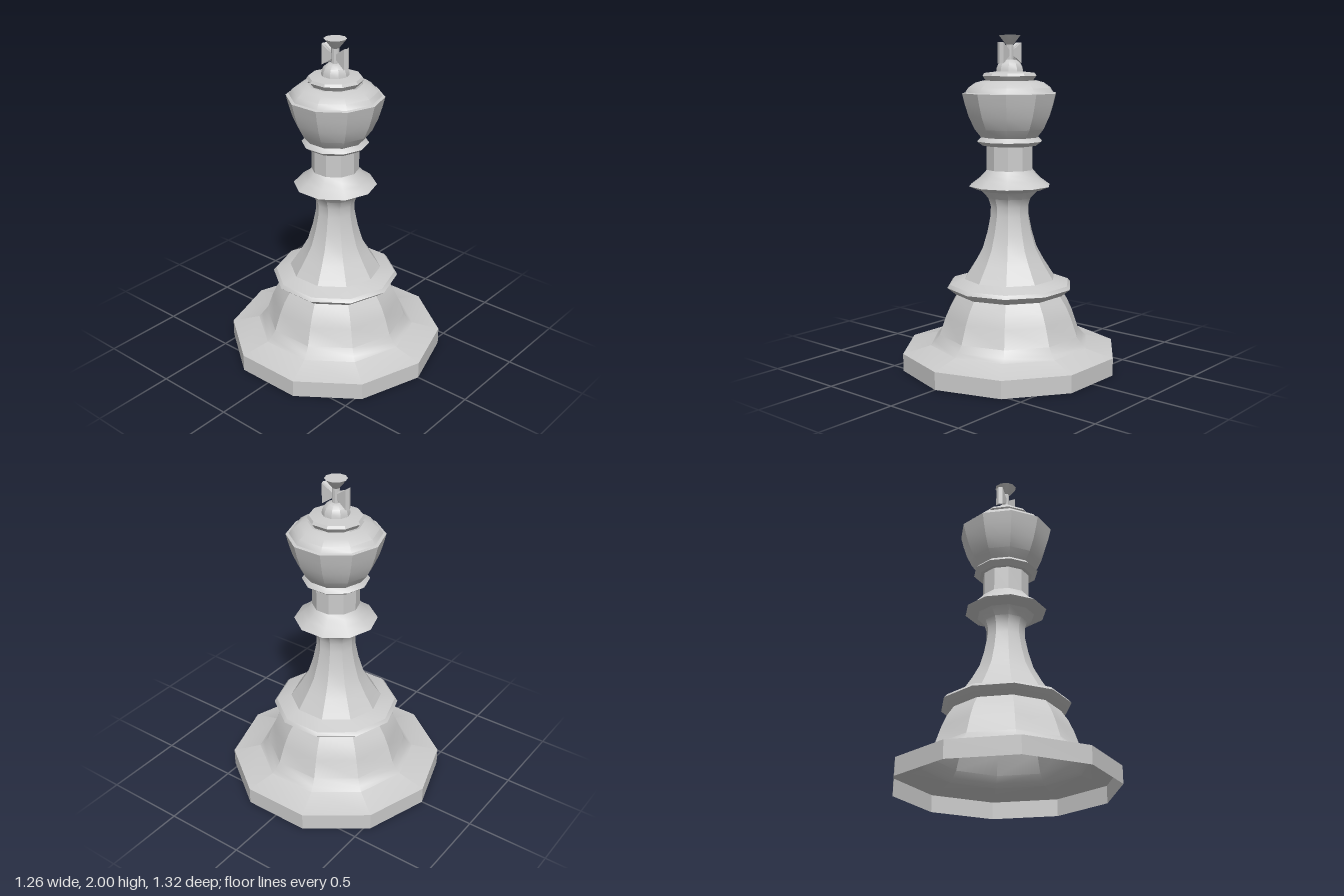
import * as THREE from 'three';
import { toCreasedNormals } from 'three/addons/utils/BufferGeometryUtils.js';

const SIDES = 10;
const material = new THREE.MeshStandardMaterial({ color: 0xcccccc, side: THREE.DoubleSide });

// Ten-sided turned part from [radius, height] points, listed bottom to top
function turned(name, profile) {
  const points = profile.map(([r, y]) => new THREE.Vector2(r, y));
  const geometry = toCreasedNormals(new THREE.LatheGeometry(points, SIDES), Math.PI / 6);
  const mesh = new THREE.Mesh(geometry, material);
  mesh.name = name;
  return mesh;
}

// Side arms of the cross: a plan outline raised to a height that flares toward both ends
function crossArms() {
  const half = [[0.014, 0.015], [0.023, 0.082], [0, 0.092], [-0.023, 0.082], [-0.014, 0.015]];
  const outline = [...half, ...half.map(([x, z]) => [-x, -z])];
  const shape = new THREE.Shape(outline.map(([x, z]) => new THREE.Vector2(x, z)));
  const geometry = new THREE.ExtrudeGeometry(shape, { depth: 1, bevelEnabled: false });
  geometry.translate(0, 0, -0.5).rotateX(-Math.PI / 2);
  const p = geometry.attributes.position;
  for (let i = 0; i < p.count; i++) {
    const flare = Math.min(1, Math.max(0, (Math.abs(p.getZ(i)) - 0.015) / 0.067));
    p.setY(i, 1.896 + p.getY(i) * (0.03 + 0.092 * flare));
  }
  geometry.computeVertexNormals();
  const mesh = new THREE.Mesh(geometry, material);
  mesh.name = 'crossArms';
  return mesh;
}

export function createModel() {
  const model = new THREE.Group();
  model.name = 'chessKing';

  model.add(
    // Open-bottomed foot and hollow bell
    turned('base', [[0.66, 0], [0.66, 0.105], [0.49, 0.147], [0.465, 0.17],
      [0.435, 0.21], [0.397, 0.32], [0.365, 0.39], [0.325, 0.45]]),
    turned('lowerCollar', [[0.325, 0.45], [0.335, 0.453], [0.387, 0.495], [0.37, 0.515], [0.28, 0.545]]),
    // Tapering column flaring up into its collar
    turned('column', [[0.28, 0.545], [0.215, 0.645], [0.168, 0.73], [0.138, 0.83], [0.118, 0.93],
      [0.117, 0.985], [0.132, 1.035], [0.175, 1.08]]),
    turned('middleCollar', [[0.175, 1.08], [0.19, 1.083], [0.25, 1.108], [0.195, 1.148], [0.165, 1.178], [0.142, 1.205]]),
    turned('neck', [[0.142, 1.205], [0.142, 1.35]]),
    turned('upperCollar', [[0.142, 1.35], [0.165, 1.35], [0.2, 1.375], [0.175, 1.4], [0.15, 1.4]]),
    // Crown bowl with a thin lip and rounded top
    turned('crown', [[0.15, 1.4], [0.175, 1.4], [0.215, 1.45], [0.25, 1.525], [0.272, 1.595],
      [0.288, 1.66], [0.27, 1.665]]),
    turned('crownTop', [[0.27, 1.665], [0.25, 1.694], [0.21, 1.722], [0.16, 1.735]]),
    turned('crownDisc', [[0.145, 1.735], [0.165, 1.762], [0.155, 1.778], [0.08, 1.787]]),
    turned('dome', [[0.082, 1.787], [0.079, 1.81], [0.067, 1.835], [0.045, 1.853], [0, 1.862]]),
  );

  // Cross
  const cross = new THREE.Group();
  cross.name = 'cross';
  cross.add(
    turned('crossStem', [[0.023, 1.835], [0.023, 1.92], [0.023, 1.945]]),
    turned('crossTop', [[0.023, 1.945], [0.042, 1.968], [0.067, 2], [0, 2]]),
    crossArms(),
  );
  model.add(cross);
  return model;
}
